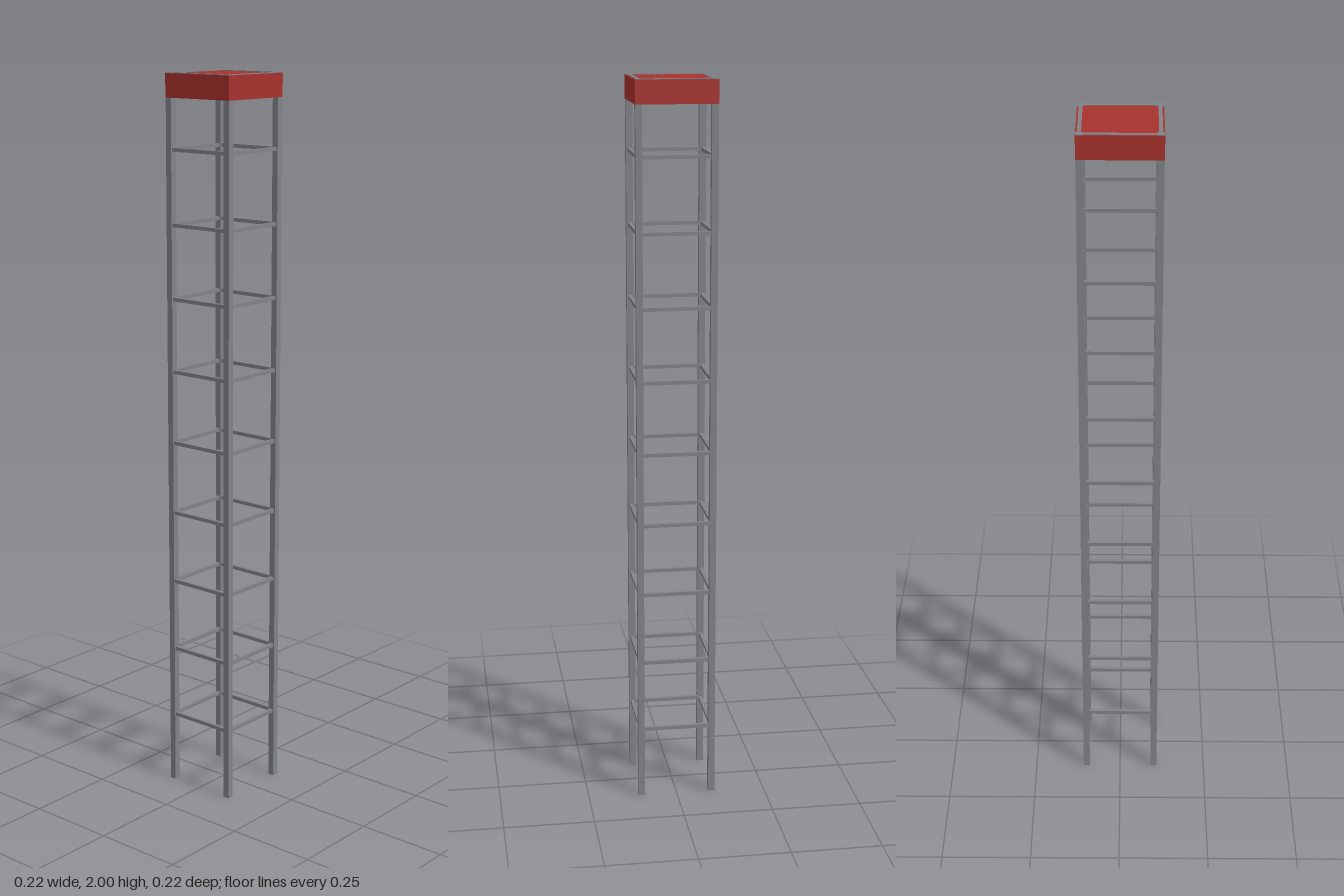
import * as THREE from 'three';

export function createModel() {
  const tower = new THREE.Group();
  tower.name = 'latticeTower';
  const steel = new THREE.MeshStandardMaterial({ color: 0x808388 });
  steel.name = 'grey steel';
  const red = new THREE.MeshStandardMaterial({ color: 0xa8322c });
  red.name = 'red paint';

  const box = (name, material, w, h, d, x, y, z) => {
    const mesh = new THREE.Mesh(new THREE.BoxGeometry(w, h, d), material);
    mesh.name = name;
    mesh.position.set(x, y, z);
    tower.add(mesh);
  };

  const half = 0.1; // centre line of posts and rails
  const post = 0.018;
  const rail = 0.01;

  // Four corner posts, standing just proud of the cap
  for (const x of [-half, half]) {
    for (const z of [-half, half]) box('cornerPost', steel, post, 2, post, x, 1, z);
  }

  // Square rings of rails, the last one lying on the cap
  const span = 2 * half - post;
  for (let i = 1; i <= 10; i++) {
    const y = i < 10 ? i * 0.2 : 2 - rail / 2;
    for (const s of [-half, half]) {
      box('crossRail', steel, span, rail, rail, 0, y, s);
      box('sideRail', steel, rail, rail, span, s, y, 0);
    }
  }

  // Red cap block around the post heads
  box('cap', red, 0.219, 0.063, 0.219, 0, 1.9665, 0);

  return tower;
}
